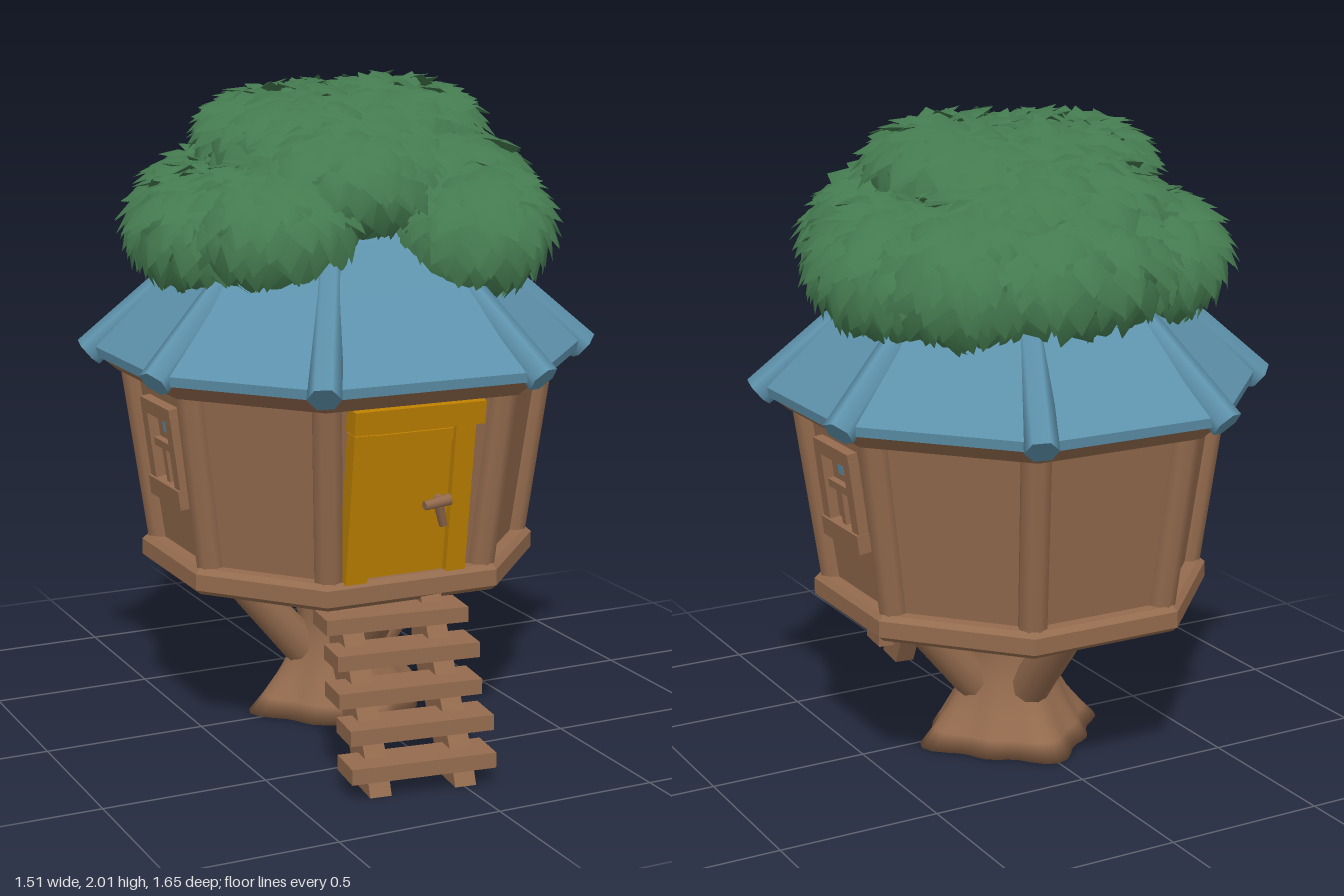
import * as THREE from 'three';

const mat = (name, color, side = THREE.FrontSide) => {
  const m = new THREE.MeshStandardMaterial({ color, side });
  m.name = name;
  return m;
};

export function createModel() {
  const wood = mat('brown wood', 0x946b4e);
  const roofBlue = mat('blue roof', 0x5e93ad);
  const gold = mat('golden door', 0xbd8000);
  const leafGreen = mat('leaf green', 0x447a4f, THREE.DoubleSide);
  const V = (x, y, z) => new THREE.Vector3(x, y, z);
  const model = new THREE.Group();
  model.name = 'treehouse';

  const add = (parent, name, geo, material, x = 0, y = 0, z = 0) => {
    const m = new THREE.Mesh(geo, material);
    m.name = name;
    m.position.set(x, y, z);
    parent.add(m);
    return m;
  };
  const box = (parent, name, material, w, h, d, x, y, z) =>
    add(parent, name, new THREE.BoxGeometry(w, h, d), material, x, y, z);
  // Tapered log between two points
  const log = (parent, name, material, a, b, r0, r1, sides = 8) => {
    const dir = b.clone().sub(a);
    const m = add(parent, name, new THREE.CylinderGeometry(r1, r0, dir.length(), sides), material);
    m.position.copy(a).lerp(b, 0.5);
    m.quaternion.setFromUnitVectors(V(0, 1, 0), dir.normalize());
    return m;
  };
  // Slightly uneven octagon with a wider front side, corners [x, z] for apothem 1
  const corners = [[0.45, 1], [1, 0.41], [1, -0.38], [0.44, -1], [-0.41, -1], [-1, -0.38], [-1, 0.41], [-0.52, 0.99]];
  const corner = (i, apothem, y) => V(corners[i % 8][0] * apothem, y, corners[i % 8][1] * apothem);
  // Octagonal shell from a profile of [apothem, height]
  const octagon = (parent, name, material, profile) => {
    const lathe = new THREE.LatheGeometry(profile.map(p => new THREE.Vector2(...p)), 8);
    const p = lathe.attributes.position;
    for (let v = 0; v < p.count; v++) {
      const c = corner(Math.floor(v / profile.length), ...profile[v % profile.length]);
      p.setXYZ(v, c.x, c.y, c.z);
    }
    const geo = lathe.toNonIndexed();
    geo.computeVertexNormals();
    return add(parent, name, geo, material);
  };

  // Trunk with flared root lobes
  const trunkPts = [[0, 0], [0.27, 0], [0.235, 0.05], [0.19, 0.12], [0.15, 0.2], [0.13, 0.3], [0.135, 0.51]];
  const trunk = new THREE.LatheGeometry(trunkPts.map(p => new THREE.Vector2(...p)), 48);
  const tp = trunk.attributes.position;
  for (let i = 0; i < tp.count; i++) {
    const x = tp.getX(i), y = tp.getY(i), z = tp.getZ(i), t = Math.atan2(x, z);
    const f = 1 + Math.max(0.1, 1 - y / 0.25) * (0.11 * Math.cos(4 * t) + 0.06 * Math.cos(8 * t));
    tp.setXYZ(i, x * f, y, z * f);
  }
  trunk.computeVertexNormals();
  add(model, 'trunk', trunk, wood, 0, 0, -0.045);
  for (let i = 0; i < 4; i++) {
    const s = Math.sin(i * Math.PI / 2), c = Math.cos(i * Math.PI / 2);
    log(model, 'supportBranch', wood, V(s * 0.09, 0.15, c * 0.09 - 0.05), V(s * 0.41, 0.52, c * 0.41 - 0.05), 0.065, 0.053, 10);
  }

  // House body
  const house = new THREE.Group();
  house.name = 'house';
  house.position.z = -0.07;
  model.add(house);
  octagon(house, 'floor', wood, [[0, 0.51], [0.49, 0.51], [0.505, 0.485], [0.56, 0.48], [0.577, 0.495], [0.577, 0.545], [0.56, 0.56], [0, 0.56]]);
  octagon(house, 'walls', wood, [[0.52, 0.54], [0.597, 1.12]]);
  octagon(house, 'soffit', wood, [[0.585, 1.09], [0.64, 1.09], [0.71, 1.15], [0.6, 1.15]]);
  octagon(house, 'roof', roofBlue, [[0.6, 1.145], [0.71, 1.14], [0.715, 1.17], [0.5, 1.4], [0.36, 1.53], [0, 1.7]]);
  for (let i = 0; i < 8; i++) {
    log(house, 'cornerPost', wood, corner(i, 0.517, 0.54), corner(i, 0.595, 1.14), 0.044, 0.046);
    log(house, 'roofRidge', roofBlue, corner(i, 0.722, 1.147), corner(i, 0.4, 1.455), 0.05, 0.042, 6);
  }

  // Group lying on a sloped wall face
  const face = (name, angle) => {
    const turn = new THREE.Group(), g = new THREE.Group();
    turn.name = name + 'Side';
    g.name = name;
    turn.rotation.y = angle;
    g.position.set(0, 0.56, 0.523);
    g.rotation.x = Math.atan(0.077 / 0.58);
    turn.add(g);
    house.add(turn);
    return g;
  };

  // Door
  const door = face('door', 0);
  door.position.x = -0.02;
  box(door, 'doorPanel', gold, 0.3, 0.46, 0.02, -0.02, 0.23, 0.008);
  box(door, 'leftPost', gold, 0.07, 0.46, 0.05, -0.185, 0.23, 0.02);
  box(door, 'rightPost', gold, 0.065, 0.46, 0.04, 0.145, 0.23, 0.02);
  box(door, 'doorTopRail', gold, 0.3, 0.04, 0.03, -0.02, 0.43, 0.01);
  box(door, 'doorLeftRail', gold, 0.03, 0.4, 0.03, -0.135, 0.21, 0.01);
  box(door, 'lintel', gold, 0.425, 0.07, 0.06, -0.012, 0.5, 0.022);
  log(door, 'handle', wood, V(0.105, 0.235, 0.045), V(0.02, 0.225, 0.05), 0.018, 0.014, 8);
  log(door, 'handleGrip', wood, V(0.07, 0.23, 0.04), V(0.095, 0.15, 0.035), 0.016, 0.012, 8);
  log(door, 'handleStem', wood, V(0.08, 0.23, 0.01), V(0.08, 0.23, 0.05), 0.016, 0.016, 8);

  // Windows on both sides
  for (const side of [-1, 1]) {
    const w = face('window', side * Math.PI / 2);
    w.position.x = -side * 0.015;
    for (const s of [-1, 1]) {
      box(w, 'windowJamb', wood, 0.045, 0.27, 0.04, s * 0.1, 0.32, 0.012);
    }
    box(w, 'windowHead', wood, 0.24, 0.045, 0.04, 0, 0.455, 0.012);
    box(w, 'windowSill', wood, 0.25, 0.06, 0.05, 0, 0.195, 0.015);
    box(w, 'windowBar', wood, 0.025, 0.12, 0.025, 0, 0.28, 0.008);
    box(w, 'windowCrossbar', wood, 0.2, 0.025, 0.025, 0, 0.34, 0.008);
    box(w, 'windowGlint', roofBlue, 0.035, 0.05, 0.008, 0, 0.405, 0.004);
  }

  // Stairs, turned slightly
  const stairs = new THREE.Group();
  stairs.name = 'stairs';
  stairs.position.set(-0.088, 0, 0.47);
  stairs.rotation.y = -0.12;
  model.add(stairs);
  for (let i = 0; i < 5; i++) {
    box(stairs, 'step', wood, 0.44, 0.046, 0.13, i % 2 ? 0.01 : -0.005, 0.45 - 0.093 * i, 0.04 + 0.057 * i);
  }
  // Stringer side outline as [z, y]
  const outline = [[-0.06, 0.52], [0, 0.52], [0.06, 0.42], [0.27, 0.09], [0.31, 0], [0.18, 0], [0.12, 0.1], [-0.03, 0.29], [-0.06, 0.36]];
  const stringer = new THREE.ExtrudeGeometry(new THREE.Shape(outline.map(p => new THREE.Vector2(...p))), { depth: 0.065, bevelEnabled: false });
  stringer.translate(0, 0, -0.0325).rotateY(-Math.PI / 2);
  for (const s of [-1, 1]) add(stairs, 'stringer', stringer, wood, s * 0.13);

  // Canopy: ellipsoid clumps [x, y, z, rx, ry, rz] covered with overlapping leaves
  const clumps = [
    [0, 1.68, -0.08, 0.42, 0.2, 0.42],
    [0, 1.78, -0.08, 0.4, 0.18, 0.38],
    [0.17, 1.85, -0.06, 0.26, 0.12, 0.27],
    [-0.15, 1.83, -0.08, 0.26, 0.125, 0.26],
    [-0.4, 1.55, -0.08, 0.24, 0.18, 0.3],
    [-0.3, 1.58, 0.13, 0.25, 0.18, 0.25],
    [-0.08, 1.71, 0.15, 0.28, 0.16, 0.24],
    [0.28, 1.56, 0.3, 0.21, 0.18, 0.21],
    [0.25, 1.64, 0.12, 0.28, 0.2, 0.25],
    [0.41, 1.57, -0.14, 0.25, 0.2, 0.29],
    [0.04, 1.58, -0.4, 0.36, 0.2, 0.27],
    [0.02, 1.71, -0.33, 0.36, 0.17, 0.25],
    [-0.27, 1.57, -0.33, 0.26, 0.19, 0.24],
    [0.3, 1.58, -0.36, 0.25, 0.2, 0.23],
  ];
  let seed = 7;
  const rnd = () => (seed = (seed * 16807) % 2147483647) / 2147483647 - 0.5;
  const inside = (p, c) =>
    ((p.x - c[0]) / c[3]) ** 2 + ((p.y - c[1]) / c[4]) ** 2 + ((p.z - c[2]) / c[5]) ** 2 < 0.85;
  const pos = [], index = [];
  for (const c of clumps) {
    const core = add(model, 'leafClump', new THREE.SphereGeometry(1, 20, 14), leafGreen, c[0], c[1], c[2]);
    core.scale.set(c[3], c[4], c[5]);
    const count = 230;
    for (let i = 0; i < count; i++) {
      // Evenly spread point, skipped where another clump hides it
      const h = 1 - (2 * i + 1) / count, r = Math.sqrt(1 - h * h), a = i * 2.39996 + rnd() * 0.3;
      const u = V(r * Math.cos(a), h, r * Math.sin(a));
      const p = V(c[0] + u.x * c[3], c[1] + u.y * c[4], c[2] + u.z * c[5]);
      if (clumps.some(o => o !== c && inside(p, o))) continue;
      const n = V(u.x / c[3], u.y / c[4], u.z / c[5]).normalize();
      const d = V(rnd() * 0.9, -1, rnd() * 0.9);
      d.addScaledVector(n, -d.dot(n)).normalize();
      const s = d.clone().cross(n), k = 1.3 + rnd() * 0.6, o = pos.length / 3;
      // Leaf corners: along the slope, across it, lift
      for (const [f, g, l] of [[-0.035, 0, -0.012], [0.01, 0.042, 0.004], [0.07, 0, 0.034], [0.01, -0.042, 0.004], [0.015, 0, 0.026]]) {
        const q = p.clone().addScaledVector(d, f * k).addScaledVector(s, g * k).addScaledVector(n, l);
        pos.push(q.x, q.y, q.z);
      }
      for (let j = 0; j < 4; j++) index.push(o + j, o + (j + 1) % 4, o + 4);
    }
  }
  const leaves = new THREE.BufferGeometry();
  leaves.setAttribute('position', new THREE.Float32BufferAttribute(pos, 3));
  leaves.setIndex(index);
  leaves.computeVertexNormals();
  add(model, 'leaves', leaves, leafGreen);

  return model;
}
